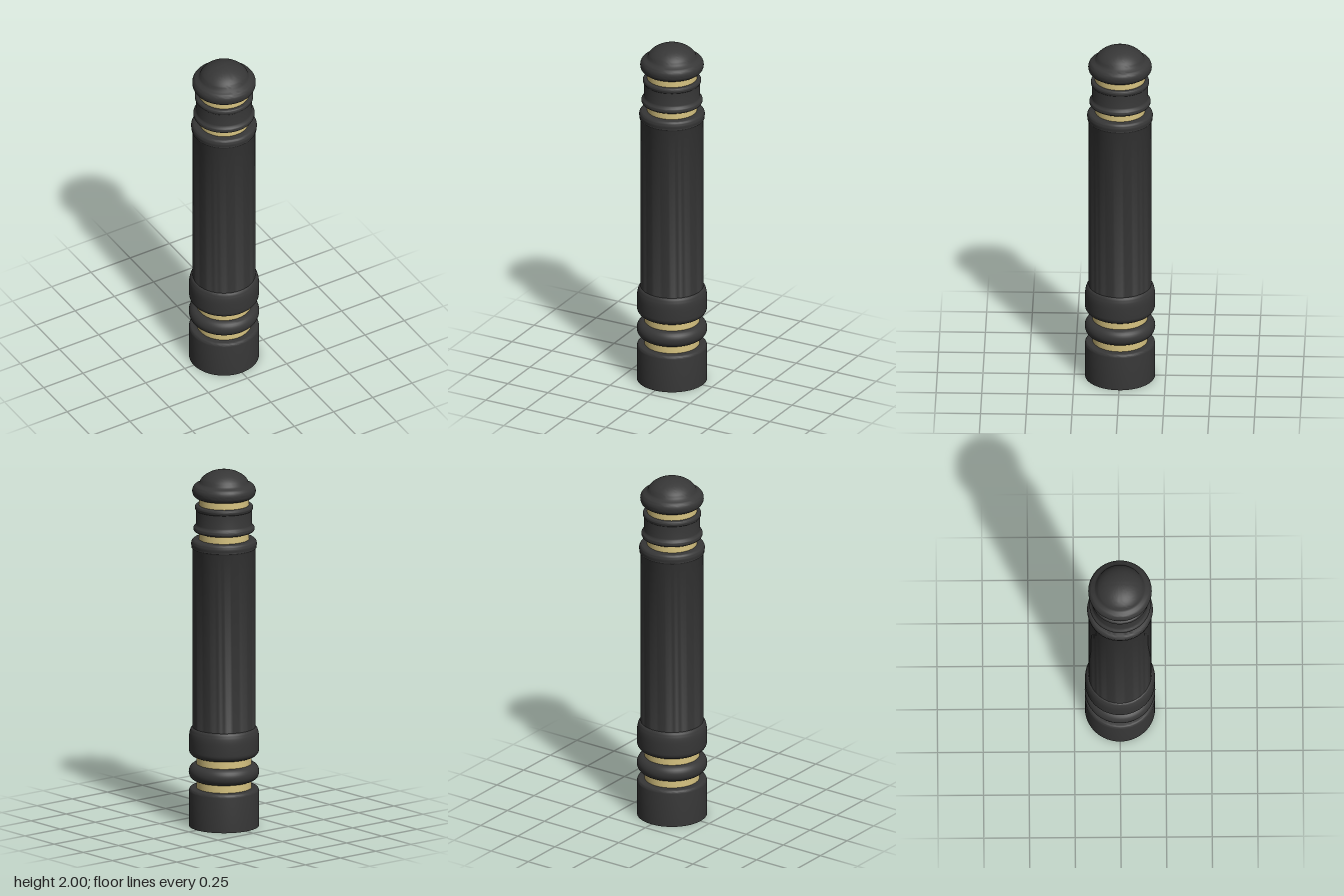
import * as THREE from 'three';
import { toCreasedNormals } from 'three/addons/utils/BufferGeometryUtils.js';

const SEGMENTS = 64;

// Points on an elliptical arc of the profile; angles in degrees, 0 = outward, 90 = up
function arc(cx, cy, rx, ry, from, to, steps = 8) {
  const pts = [];
  for (let i = 0; i <= steps; i++) {
    const a = THREE.MathUtils.degToRad(from + ((to - from) * i) / steps);
    pts.push([Math.max(0, cx + rx * Math.cos(a)), cy + ry * Math.sin(a)]);
  }
  return pts;
}

export function createModel() {
  const group = new THREE.Group();
  group.name = 'bollard';
  const black = new THREE.MeshStandardMaterial({ color: 0x373737 });
  black.name = 'black paint';
  const gold = new THREE.MeshStandardMaterial({ color: 0xd9c582 });
  gold.name = 'pale gold';

  // Turned part from a bottom-to-top profile of [radius, height]
  function turned(name, profile, material) {
    const lathe = new THREE.LatheGeometry(profile.map(([r, y]) => new THREE.Vector2(r, y)), SEGMENTS);
    const mesh = new THREE.Mesh(toCreasedNormals(lathe, 0.6), material);
    mesh.name = name;
    group.add(mesh);
  }

  // Foot with a softened upper edge
  turned('foot', [
    [0, 0], [0.192, 0], [0.192, 0.195],
    ...arc(0.177, 0.195, 0.015, 0.02, 0, 90, 4), [0.14, 0.215],
  ], black);

  // Rounded ring between the two lower gold bands
  turned('lowerRing', [
    [0.14, 0.258], ...arc(0.152, 0.304, 0.041, 0.046, -90, 90, 14), [0.14, 0.35],
  ], black);

  // Collar, tall shaft and top lip
  turned('shaft', [
    [0.14, 0.392], [0.155, 0.392],
    ...arc(0.155, 0.43, 0.037, 0.038, -80, 0, 6),
    [0.192, 0.49],
    ...arc(0.172, 0.49, 0.02, 0.065, 10, 90, 8),
    [0.172, 1.555], [0.178, 1.566],
    ...arc(0.162, 1.587, 0.018, 0.026, -35, 90, 8),
    [0.13, 1.613],
  ], black);

  // Drum with a moulding at each end
  turned('drum', [
    [0.13, 1.656], [0.157, 1.656],
    ...arc(0.155, 1.672, 0.013, 0.016, -70, 60, 8),
    [0.155, 1.692], [0.153, 1.7], [0.153, 1.775],
    ...arc(0.15, 1.79, 0.01, 0.015, -60, 90, 8),
    [0.13, 1.805],
  ], black);

  // Cap: rounded brim flowing into a dome
  turned('cap', [
    [0.13, 1.845], [0.15, 1.845],
    ...arc(0.145, 1.883, 0.029, 0.038, -80, 70, 12),
    [0.141, 1.924], [0.133, 1.932],
    ...arc(0, 1.9, 0.143, 0.1, 25, 90, 14),
  ], black);

  // Recessed gold bands
  const bands = [
    ['lowestBand', 0.151, 0.21, 0.262],
    ['lowerBand', 0.151, 0.345, 0.396],
    ['upperBand', 0.137, 1.608, 1.66],
    ['highestBand', 0.137, 1.8, 1.85],
  ];
  for (const [name, r, y0, y1] of bands) turned(name, [[r, y0], [r, y1]], gold);

  return group;
}
